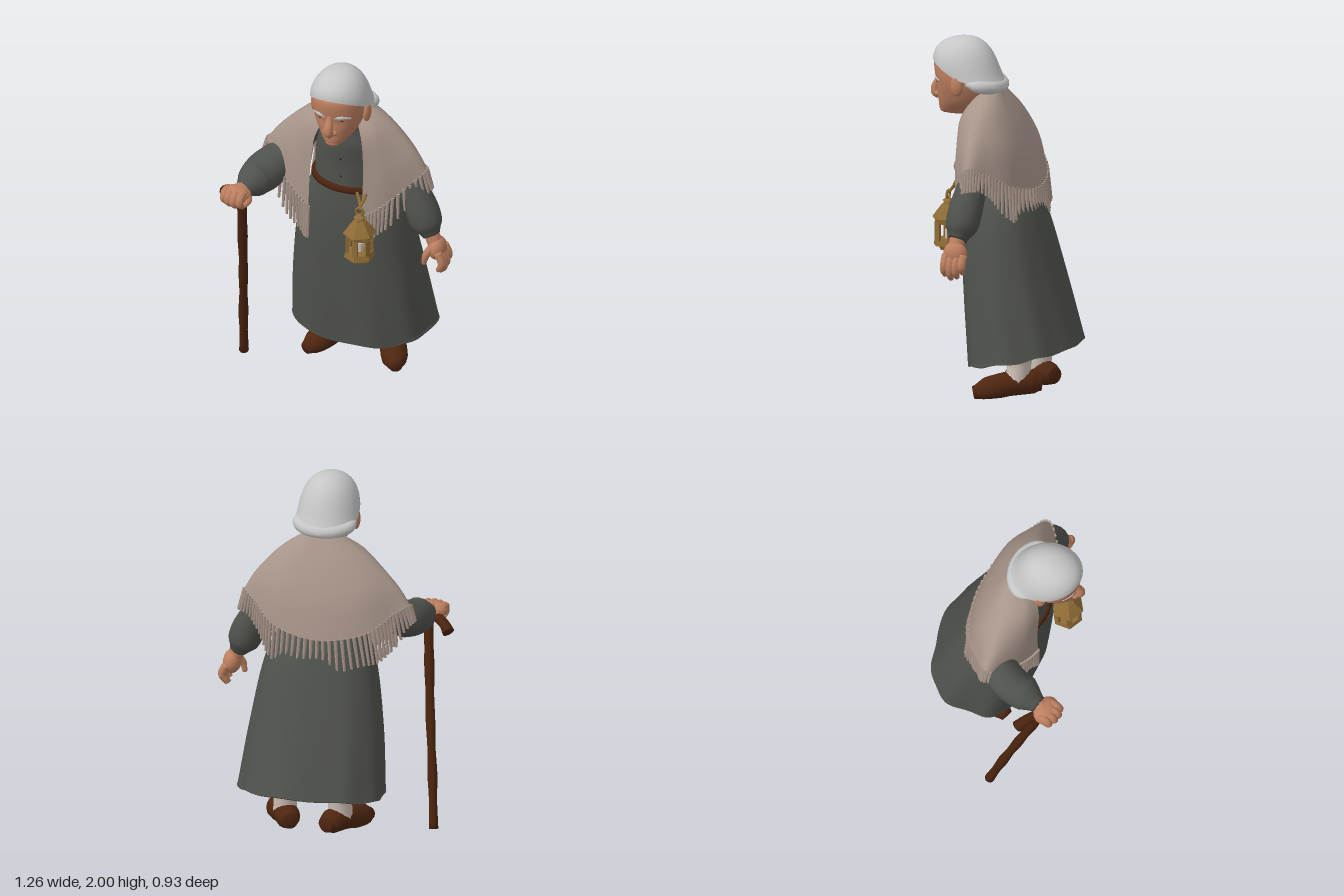
import * as THREE from 'three';
import { mergeGeometries } from 'three/addons/utils/BufferGeometryUtils.js';

const V = (x, y, z) => new THREE.Vector3(x, y, z);
const mat = (name, color, double) => {
  const m = new THREE.MeshStandardMaterial({ color });
  m.name = name;
  if (double) m.side = THREE.DoubleSide;
  return m;
};

// Catmull-Rom through rows of numbers, t in 0..1
function spline(rows, t) {
  const f = t * (rows.length - 1), i = Math.min(Math.floor(f), rows.length - 2), s = f - i;
  const at = k => rows[Math.max(0, Math.min(rows.length - 1, k))];
  return rows[i].map((_, k) => {
    const a = at(i - 1)[k], b = at(i)[k], c = at(i + 1)[k], d = at(i + 2)[k];
    return b + 0.5 * s * (c - a + s * (2 * a - 5 * b + 4 * c - d + s * (3 * (b - c) + d - a)));
  });
}

// Surface through rows of points; wrap closes each row into a ring
function grid(rows, wrap) {
  const n = rows[0].length, pos = [], idx = [];
  rows.forEach(r => r.forEach(p => pos.push(p.x, p.y, p.z)));
  for (let i = 0; i < rows.length - 1; i++)
    for (let j = 0; j < (wrap ? n : n - 1); j++) {
      const k = (j + 1) % n, a = i * n + j, b = i * n + k, c = b + n, d = a + n;
      idx.push(a, b, c, a, c, d);
    }
  const g = new THREE.BufferGeometry();
  g.setAttribute('position', new THREE.Float32BufferAttribute(pos, 3));
  g.setIndex(idx);
  g.computeVertexNormals();
  return g;
}

// Rings stacked from top to bottom: [y, centre x, centre z, radius x, radius z]
function loft(secs, seg, steps, shape = () => ({ r: 1, dy: 0 }), pow = 1) {
  const round = v => Math.sign(v) * Math.abs(v) ** pow;
  const rows = [];
  for (let i = 0; i <= steps; i++) {
    const t = i / steps, [y, cx, cz, rx, rz] = spline(secs, t), row = [];
    for (let j = 0; j < seg; j++) {
      const a = j / seg * Math.PI * 2, { r, dy } = shape(t, a);
      row.push(V(cx + round(Math.cos(a)) * rx * r, y + dy, cz + round(Math.sin(a)) * rz * r));
    }
    rows.push(row);
  }
  return grid(rows, true);
}

// Round limb with changing radius and closed ends
function limb(pts, radii, seg = 10, steps = 14) {
  const curve = new THREE.CatmullRomCurve3(pts.map(p => V(...p)));
  const fr = curve.computeFrenetFrames(steps), rows = [];
  const ring = (i, r) => Array.from({ length: seg }, (_, j) => {
    const a = j / seg * Math.PI * 2;
    return curve.getPoint(i / steps).addScaledVector(fr.normals[i], Math.cos(a) * r)
      .addScaledVector(fr.binormals[i], Math.sin(a) * r);
  });
  const rad = radii.map(r => [r]);
  rows.push(ring(0, 0));
  for (let i = 0; i <= steps; i++) rows.push(ring(i, spline(rad, i / steps)[0]));
  rows.push(ring(steps, 0));
  return grid(rows, true);
}
const ball = (x, y, z, rx, ry, rz) => new THREE.SphereGeometry(1, 16, 12).scale(rx, ry, rz).translate(x, y, z);
const facet = g => { const f = g.toNonIndexed(); f.computeVertexNormals(); return f; };

export function createModel() {
  const root = new THREE.Group();
  const M = {
    dress: mat('dark grey cloth', 0x50524d, true), shawl: mat('beige wool', 0xa8958a, true),
    hair: mat('silver hair', 0xc6c6c6, true), skin: mat('skin', 0xbd7f60),
    wood: mat('brown wood', 0x4a230e), shoe: mat('brown leather', 0x4f2611),
    brass: mat('brass', 0x8f6c36), sock: mat('cream sock', 0xcfc2b6), eye: mat('dark eye', 0x2a1f1a),
  };
  const add = (name, geo, m, parent = root) => {
    const mesh = new THREE.Mesh(geo, m);
    mesh.name = name;
    parent.add(mesh);
    return mesh;
  };

  // Bodice and collar
  add('bodice', loft([[1.64, 0.045, 0.12, 0.065, 0.065], [1.58, 0.045, 0.085, 0.095, 0.095], [1.49, 0.04, 0.04, 0.17, 0.15],
    [1.36, 0.035, 0.015, 0.2, 0.16], [1.2, 0.03, 0, 0.2, 0.17]], 32, 16), M.dress);
  [1.52, 1.41, 1.3].forEach(y => add('button', ball(0.04, y, y > 1.5 ? 0.177 : 0.182, 0.005, 0.005, 0.005), M.eye));

  // Skirt with folds deepening to a tilted hem, closed underneath
  const folds = (t, a) => ({
    r: 1 + t * t * (0.022 * Math.cos(9 * a + 0.6) + 0.016 * Math.cos(5 * a + 0.3)),
    dy: -0.06 * t * Math.sin(a) + 0.006 * t * Math.cos(9 * a),
  });
  add('skirt', loft([[1.23, 0.03, 0, 0.205, 0.175], [1.0, 0.035, -0.035, 0.305, 0.217], [0.62, 0.04, -0.1, 0.367, 0.255],
    [0.265, 0.05, -0.165, 0.4, 0.285]], 96, 20, folds, 0.86), M.dress);
  add('skirtUnderside', loft([[0.265, 0.05, -0.165, 0.4, 0.285], [0.285, 0.05, -0.16, 0.36, 0.25], [0.3, 0.05, -0.16, 0, 0]],
    96, 6, (t, a) => ({ r: folds(1, a).r, dy: folds(1, a).dy * (1 - t) }), 0.86), M.dress);
  add('belt', loft([[1.238, 0.03, 0, 0.2, 0.175], [1.235, 0.03, 0, 0.217, 0.19], [1.205, 0.03, 0, 0.222, 0.193],
    [1.2, 0.03, 0, 0.205, 0.175]], 32, 6, (t, a) => ({ r: 1, dy: -0.015 * Math.cos(a) })), M.wood);

  // Shawl: half-columns from front edge to back centre, each from neck to hem
  const half = [
    [0.07, 1.66, 0.13, 0.135, 1.54, 0.185, 0.155, 1.32, 0.19, 0.155, 1.07, 0.195],
    [0.085, 1.69, 0.09, 0.205, 1.59, 0.135, 0.275, 1.38, 0.15, 0.29, 1.17, 0.15],
    [0.095, 1.715, 0.04, 0.255, 1.605, 0.035, 0.39, 1.46, 0.035, 0.465, 1.34, 0.025],
    [0.08, 1.72, 0, 0.205, 1.61, -0.04, 0.32, 1.46, -0.07, 0.385, 1.31, -0.075],
    [0.05, 1.72, -0.02, 0.13, 1.57, -0.095, 0.21, 1.4, -0.15, 0.25, 1.22, -0.172],
    [0, 1.72, -0.02, 0, 1.56, -0.11, 0, 1.38, -0.18, 0, 1.18, -0.22],
  ];
  const flip = c => c.map((v, i) => i % 3 ? v : -v);
  const cols = [...half.map(flip), ...half.slice(0, -1).reverse()];
  const shawlPoint = (u, v) => {
    const c = spline(cols, u);
    const p = spline([0, 3, 6, 9].map(i => c.slice(i, i + 3)), v);
    return V(p[0] + 0.04 - 0.03 * v, p[1], p[2]);
  };
  const shawlRows = [];
  for (let i = 0; i <= 14; i++)
    shawlRows.push(Array.from({ length: 61 }, (_, j) => shawlPoint(j / 60, i / 14)));
  add('shawl', grid(shawlRows, false), M.shawl);

  // Fringe hanging along the hem
  const strands = [], count = 78;
  for (let i = 0; i <= count; i++) {
    const u = i / count, p = shawlPoint(u, 0.985), wob = Math.sin(i * 12.9) * 0.5;
    const side = THREE.MathUtils.smoothstep(Math.abs(p.x), 0.3, 0.44);
    const len = 0.195 - 0.085 * side + 0.035 * wob;
    const dir = p.clone().sub(shawlPoint(u, 0.9)).normalize().multiplyScalar(0.6)
      .add(V(wob * 0.15, -0.7, Math.sin(i * 7.3) * 0.05)).normalize();
    const g = new THREE.CylinderGeometry(0.0115, 0.008, len, 5);
    g.translate(0, -len / 2, 0);
    g.applyQuaternion(new THREE.Quaternion().setFromUnitVectors(V(0, -1, 0), dir));
    strands.push(g.translate(p.x, p.y, p.z));
  }
  add('shawlFringe', mergeGeometries(strands), M.shawl);

  // Head
  const head = new THREE.Group();
  head.name = 'head';
  root.add(head);
  const cx = 0.045;
  add('neck', limb([[cx, 1.5, 0.09], [cx, 1.6, 0.13], [cx, 1.68, 0.17]], [0.06, 0.06, 0.07]), M.skin, head);
  add('face', loft([[1.93, cx, 0.2, 0.08, 0.1], [1.87, cx, 0.215, 0.138, 0.148], [1.8, cx, 0.212, 0.148, 0.152],
    [1.74, cx, 0.205, 0.142, 0.146], [1.69, cx, 0.205, 0.124, 0.146], [1.64, cx, 0.215, 0.1, 0.132],
    [1.6, cx, 0.24, 0.068, 0.104], [1.572, cx, 0.25, 0.04, 0.07], [1.568, cx, 0.25, 0, 0]], 32, 32), M.skin, head);
  add('nose', limb([[cx, 1.795, 0.338], [cx, 1.745, 0.354], [cx, 1.7, 0.37], [cx, 1.668, 0.364], [cx, 1.655, 0.34]],
    [0.015, 0.02, 0.026, 0.027, 0.015], 12), M.skin, head);
  add('chin', ball(cx, 1.595, 0.306, 0.044, 0.028, 0.038), M.skin, head);
  add('mouth', limb([[cx - 0.05, 1.62, 0.31], [cx, 1.63, 0.343], [cx + 0.05, 1.62, 0.31]], [0.003, 0.008, 0.003], 8), M.skin, head);
  for (const s of [-1, 1]) {
    add('ear', ball(cx + s * 0.152, 1.75, 0.185, 0.022, 0.06, 0.036), M.skin, head);
    add('nostril', ball(cx + s * 0.026, 1.672, 0.346, 0.018, 0.016, 0.02), M.skin, head);
    add('eye', ball(cx + s * 0.06, 1.747, 0.333, 0.013, 0.004, 0.008), M.eye, head);
    add('eyebrow', limb([[cx + s * 0.022, 1.766, 0.348], [cx + s * 0.06, 1.773, 0.338], [cx + s * 0.108, 1.762, 0.304]],
      [0.008, 0.014, 0.007], 8), M.hair, head);
  }

  // Hair cap: hairline high in front, low and flared at the nape
  const hairRows = [];
  for (let i = 0; i <= 18; i++) {
    const f = i / 18 * Math.PI / 2;
    hairRows.push(Array.from({ length: 40 }, (_, j) => {
      const a = j / 40 * Math.PI * 2, s = Math.sin(a);
      const edge = 1.785 + (s > 0 ? 0.095 : 0.05) * s;
      const r = Math.sin(f) ** 0.88 + Math.max(0, -s) * 0.24 * (i / 18) ** 7;
      return V(cx + Math.cos(a) * 0.167 * r, edge + (2 - edge) * Math.cos(f), 0.187 + s * 0.187 * r);
    }));
  }
  add('hair', grid(hairRows, true), M.hair, head);
  add('hairRoll', limb([[0.2, 1.765, 0.13], [0.19, 1.75, 0.07], [0.13, 1.738, 0.012], [cx, 1.735, -0.007],
    [-0.04, 1.738, 0.012], [-0.1, 1.75, 0.07], [-0.11, 1.765, 0.13]],
  [0.015, 0.033, 0.037, 0.037, 0.037, 0.033, 0.015], 12, 28), M.hair, head);

  // Sleeves
  add('leftSleeve', limb([[0.2, 1.5, 0], [0.335, 1.32, 0.01], [0.445, 1.13, 0.03], [0.49, 1.03, 0.04], [0.522, 0.965, 0.05]],
    [0.05, 0.072, 0.092, 0.088, 0.05], 18, 24), M.dress);
  add('rightSleeve', limb([[-0.15, 1.5, 0], [-0.31, 1.32, 0.02], [-0.41, 1.22, 0.12], [-0.45, 1.195, 0.24], [-0.475, 1.18, 0.33]],
    [0.05, 0.08, 0.11, 0.095, 0.048], 18, 24), M.dress);

  // Left hand, hanging open
  const lh = new THREE.Group();
  lh.name = 'leftHand';
  root.add(lh);
  add('wrist', limb([[0.515, 0.99, 0.05], [0.54, 0.93, 0.052]], [0.04, 0.044]), M.skin, lh);
  add('palm', ball(0.556, 0.892, 0.05, 0.05, 0.068, 0.069), M.skin, lh);
  [0.098, 0.064, 0.03, -0.004].forEach((z, i) => {
    const d = [0.02, 0, 0.01, 0.035][i];
    add('finger', limb([[0.575, 0.89, z], [0.6, 0.835, z], [0.598, 0.785 + d, z], [0.578, 0.757 + d, z]],
      [0.023, 0.024, 0.022, 0.014], 8), M.skin, lh);
  });
  add('thumb', limb([[0.54, 0.91, 0.09], [0.513, 0.865, 0.11], [0.5, 0.81, 0.11]], [0.024, 0.021, 0.014], 8), M.skin, lh);

  // Right hand, closed over the cane handle
  const rh = new THREE.Group();
  rh.name = 'rightHand';
  root.add(rh);
  add('wrist', limb([[-0.465, 1.185, 0.3], [-0.49, 1.18, 0.37]], [0.045, 0.047]), M.skin, rh);
  add('palm', ball(-0.492, 1.178, 0.375, 0.082, 0.048, 0.065), M.skin, rh);
  [[-0.55, 0.4], [-0.518, 0.42], [-0.484, 0.43], [-0.45, 0.425]].forEach(([x, z]) =>
    add('finger', limb([[x + 0.008, 1.195, z - 0.045], [x, 1.192, z], [x, 1.155, z + 0.015], [x + 0.008, 1.125, z - 0.015]],
      [0.022, 0.024, 0.022, 0.016], 8), M.skin, rh));
  add('thumb', limb([[-0.44, 1.18, 0.36], [-0.42, 1.155, 0.39], [-0.44, 1.13, 0.415]], [0.024, 0.022, 0.016], 8), M.skin, rh);

  // Cane with knotty shaft and bent handle
  const cane = new THREE.Group();
  cane.name = 'cane';
  root.add(cane);
  add('shaft', limb([[-0.57, 0.007, 0.078], [-0.545, 0.3, 0.148], [-0.515, 0.58, 0.222], [-0.49, 0.86, 0.295], [-0.465, 1.14, 0.365]],
    [0.027, 0.023, 0.028, 0.023, 0.027, 0.024, 0.029, 0.026, 0.03], 10, 32), M.wood, cane);
  add('handle', limb([[-0.608, 1.1, 0.255], [-0.575, 1.135, 0.285], [-0.5, 1.155, 0.355], [-0.44, 1.155, 0.415]],
    [0.034, 0.029, 0.027, 0.03], 10), M.wood, cane);

  // Legs and shoes, toes turned out
  for (const s of [-1, 1]) {
    const leg = new THREE.Group();
    leg.name = s > 0 ? 'leftLeg' : 'rightLeg';
    leg.position.set(s > 0 ? 0.197 : -0.11, 0, -0.18);
    leg.rotation.y = s * 0.46;
    root.add(leg);
    add('sock', limb([[0, 0.34, 0.01], [0, 0.28, 0], [0, 0.22, 0], [0, 0.13, 0.01]], [0.08, 0.075, 0.067, 0.067], 14), M.sock, leg);
    const shoe = limb([[0, 0.125, -0.125], [0, 0.13, -0.06], [0, 0.118, 0.05], [0, 0.09, 0.16], [0, 0.075, 0.25]],
      [0.045, 0.067, 0.069, 0.074, 0.07, 0.035], 16, 22);
    const p = shoe.attributes.position;
    for (let i = 0; i < p.count; i++) // flat sole, slightly lower at the toe
      p.setY(i, Math.max(p.getY(i), 0.072 - 0.09 * (p.getZ(i) + 0.1)));
    shoe.computeVertexNormals();
    add('shoe', shoe, M.shoe, leg);
  }

  // Six-sided lantern hanging from the belt
  const lantern = new THREE.Group();
  lantern.name = 'lantern';
  lantern.position.set(0.177, 0, 0.243);
  root.add(lantern);
  const hex = (name, top, bottom, y0, y1) =>
    add(name, facet(new THREE.CylinderGeometry(top, bottom, y1 - y0, 6)).translate(0, (y0 + y1) / 2, 0), M.brass, lantern);
  hex('foot', 0.06, 0.05, 0.835, 0.86);
  hex('base', 0.078, 0.086, 0.86, 0.895);
  hex('topRim', 0.08, 0.076, 0.98, 1.01);
  hex('lowerRoof', 0.068, 0.093, 1.01, 1.045);
  hex('upperRoof', 0.036, 0.068, 1.045, 1.085);
  hex('chimney', 0.024, 0.03, 1.085, 1.105);
  hex('cap', 0.008, 0.034, 1.105, 1.125);
  for (let i = 0; i < 6; i++)
    add('post', new THREE.BoxGeometry(0.03, 0.1, 0.014).translate(0, 0.936, 0.068).rotateY(i * Math.PI / 3), M.brass, lantern);
  add('candle', new THREE.CylinderGeometry(0.018, 0.018, 0.06, 10).translate(0, 0.915, 0), M.sock, lantern);
  add('ring', new THREE.TorusGeometry(0.022, 0.007, 6, 16).translate(0, 1.14, 0), M.brass, lantern);
  for (const s of [-1, 1])
    add('hangingCord', limb([[s * 0.028 - 0.01, 1.225, -0.055], [s * 0.012 - 0.005, 1.19, -0.035], [-s * 0.008, 1.15, 0]],
      [0.009, 0.009, 0.009], 6), M.brass, lantern);
  return root;
}
